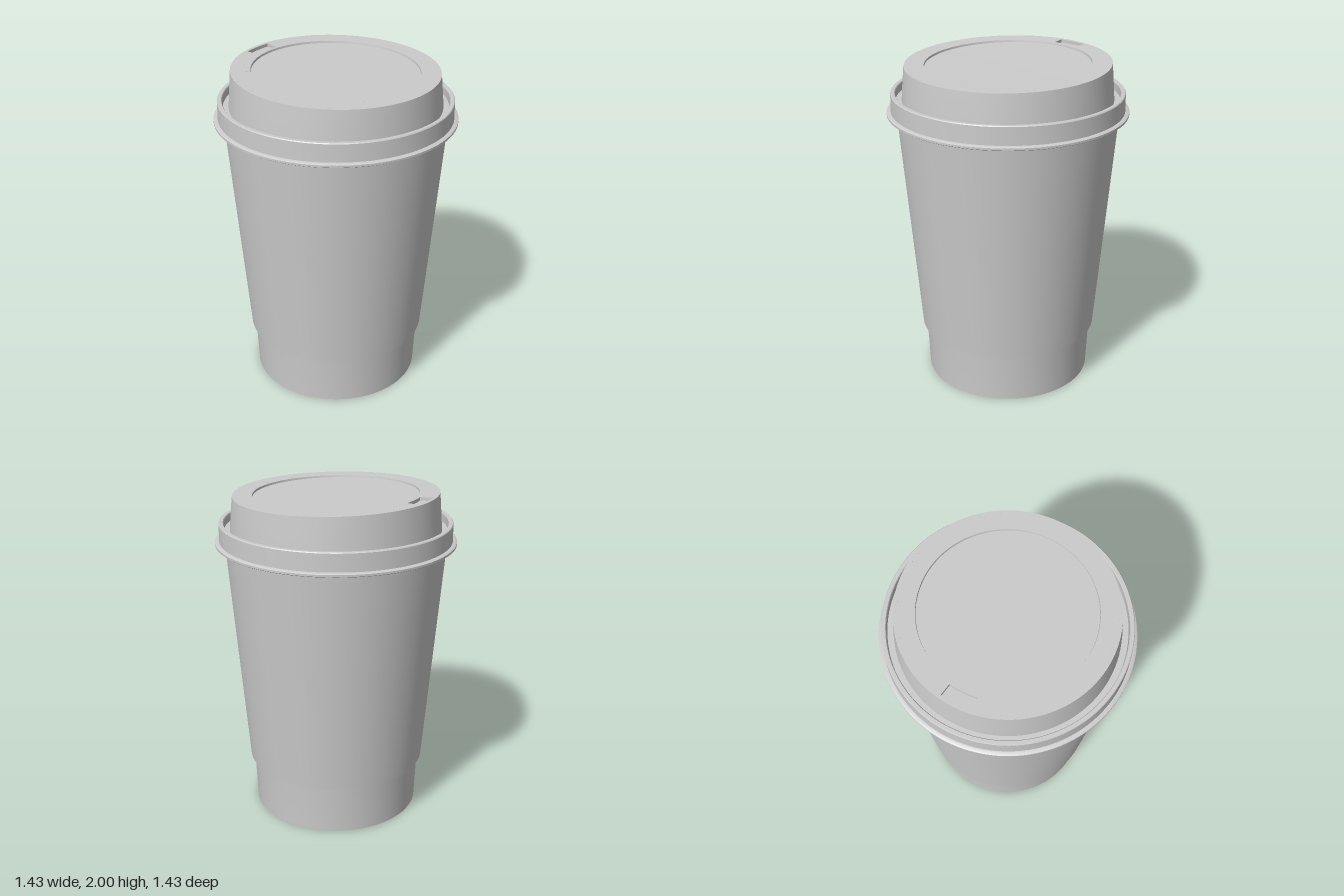
import * as THREE from 'three';
import { toCreasedNormals } from 'three/addons/utils/BufferGeometryUtils.js';

const SEG = 128;
const TAU = Math.PI * 2;
const SIP_ANGLE = THREE.MathUtils.degToRad(245.5); // lathe angle of the sip opening
const SIP_WIDTH = THREE.MathUtils.degToRad(18.5);
const SIP_START = SIP_ANGLE - SIP_WIDTH / 2;
const TOP = 1.97;

// Surface of revolution, profile listed bottom to top / outside to inside
function turned(profile, start = 0, length = TAU) {
  const points = profile.map(([r, y]) => new THREE.Vector2(r, y));
  const segments = Math.max(8, Math.round(SEG * length / TAU));
  return new THREE.LatheGeometry(points, segments, start, length);
}

// Raise the lid's top gently towards the sip opening
function lift(geometry) {
  const p = geometry.attributes.position;
  const dx = Math.sin(SIP_ANGLE), dz = Math.cos(SIP_ANGLE);
  for (let i = 0; i < p.count; i++) {
    const y = p.getY(i);
    if (y < 1.9) continue;
    const u = (p.getX(i) * dx + p.getZ(i) * dz) / 0.605;
    p.setY(i, y + 0.03 * Math.pow(Math.max(0, (1 + u) / 2), 1.3));
  }
  return geometry;
}

export function createModel() {
  const model = new THREE.Group();
  const material = new THREE.MeshStandardMaterial({ color: 0xcccccc, side: THREE.DoubleSide });

  function add(parent, name, geometry) {
    const mesh = new THREE.Mesh(toCreasedNormals(geometry, 0.5), material);
    mesh.name = name;
    parent.add(mesh);
  }

  // Paper cup with flat base
  add(model, 'cup', turned([[0, 0], [0.51, 0], [0.523, 0.31], [0.64, 1.7]]));

  // Sleeve around the cup with a small step at its lower edge
  add(model, 'sleeve', turned([[0.523, 0.31], [0.546, 0.31], [0.657, 1.7]]));

  const lid = new THREE.Group();
  lid.name = 'lid';
  model.add(lid);

  // Flange, upright band, groove and tapered riser
  add(lid, 'lidSide', lift(turned([
    [0.64, 1.69], [0.708, 1.69], [0.714, 1.694], [0.714, 1.706], [0.708, 1.71],
    [0.69, 1.712], [0.688, 1.815], [0.684, 1.82], [0.664, 1.82], [0.66, 1.815],
    [0.658, 1.77], [0.623, 1.77], [0.62, 1.82], [0.605, TOP],
  ])));

  // Flat top border, with a gap left for the sip opening
  add(lid, 'topOuterBorder', lift(turned([[0.605, TOP], [0.585, TOP]])));
  add(lid, 'topMiddleBorder', lift(turned(
    [[0.585, TOP], [0.51, TOP]], SIP_START + SIP_WIDTH, TAU - SIP_WIDTH)));
  add(lid, 'topInnerBorder', lift(turned([[0.51, TOP], [0.488, TOP]])));

  // Shallow round recess
  add(lid, 'topRecess', lift(turned([
    [0.488, TOP], [0.486, TOP - 0.012], [0.25, TOP - 0.012], [0, TOP - 0.012],
  ])));

  // Sunken sip opening: floor with curved walls, then the two end walls
  const depth = 0.02;
  add(lid, 'sipPocket', lift(turned(
    [[0.585, TOP], [0.585, TOP - depth], [0.51, TOP - depth], [0.51, TOP]],
    SIP_START, SIP_WIDTH)));
  for (const angle of [SIP_START, SIP_START + SIP_WIDTH]) {
    const wall = new THREE.PlaneGeometry(0.075, depth);
    wall.translate(0.5475, TOP - depth / 2, 0);
    wall.rotateY(angle - Math.PI / 2);
    add(lid, 'sipPocketEnd', lift(wall));
  }

  return model;
}
